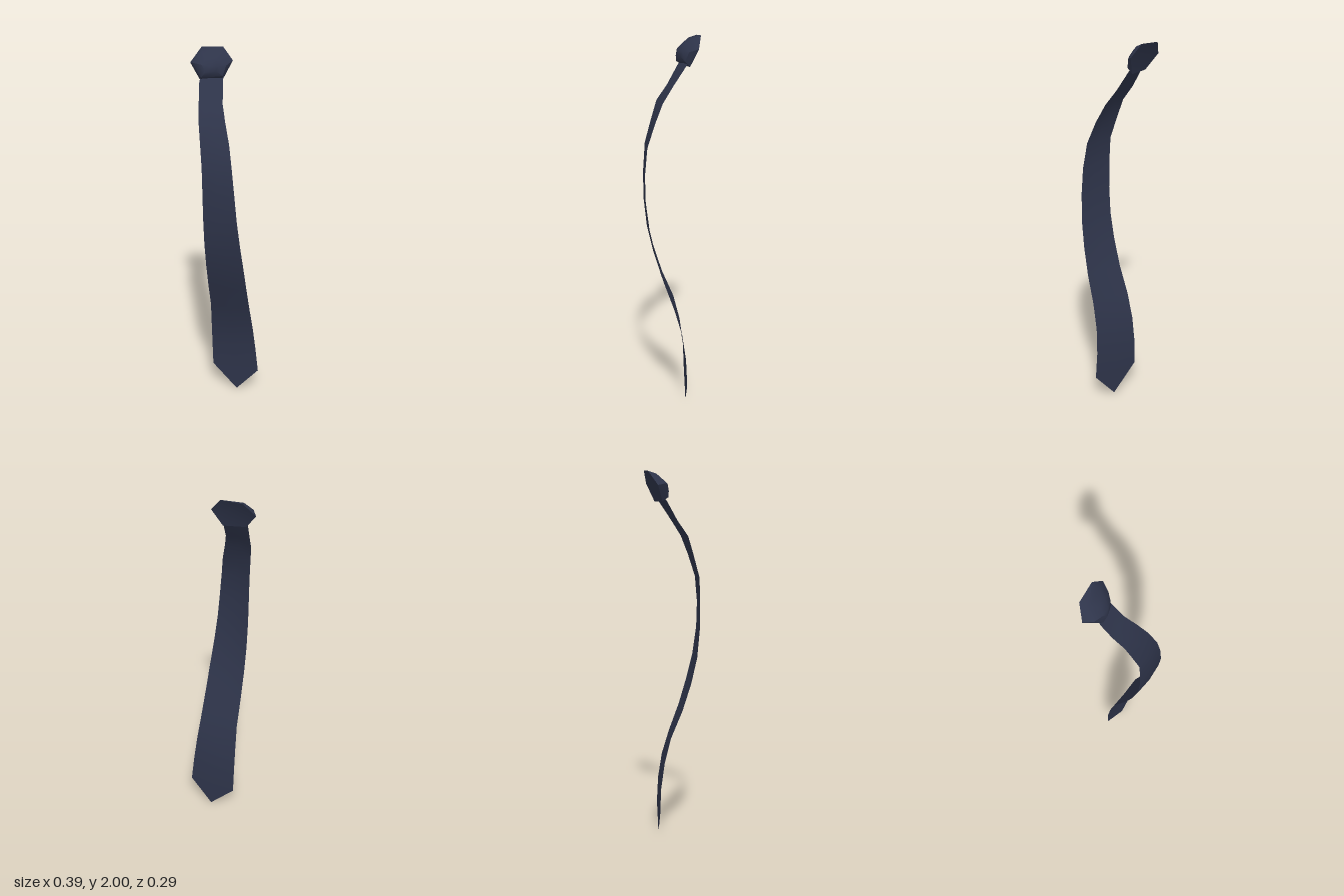
import * as THREE from 'three';
import { toCreasedNormals } from 'three/addons/utils/BufferGeometryUtils.js';

// Geometry from a list of points and triangle indices
function meshFrom(points, index) {
  const g = new THREE.BufferGeometry();
  g.setAttribute('position', new THREE.Float32BufferAttribute(points.flat(), 3));
  g.setIndex(index);
  g.computeVertexNormals();
  return g;
}

// Blade: cross-sections from the knot down, each with a left edge, a raised middle and a right edge
function bladeGeometry() {
  // [y, x and z of one edge, x and z of the other edge]
  const rows = [
    [1.88, -0.12, -0.04, -0.03, -0.1],
    [1.84, -0.118, -0.01, -0.015, -0.075],
    [1.74, -0.088, 0.04, 0.022, -0.015],
    [1.66, -0.055, 0.09, 0.066, 0.027],
    [1.56, -0.03, 0.115, 0.11, 0.058],
    [1.44, -0.002, 0.142, 0.148, 0.09],
    [1.3, 0.004, 0.145, 0.17, 0.098],
    [1.16, 0.006, 0.143, 0.182, 0.092],
    [1.01, 0.004, 0.13, 0.19, 0.07],
    [0.87, -0.006, 0.1, 0.191, 0.036],
    [0.72, -0.022, 0.055, 0.186, -0.007],
    [0.57, -0.046, -0.004, 0.175, -0.06],
    [0.43, -0.063, -0.036, 0.172, -0.102],
    [0.29, -0.07, -0.054, 0.178, -0.125],
    [0.145, -0.068, -0.06, 0.191, -0.135],
  ];
  const points = [], index = [];
  rows.forEach(([y, xl, zl, xr, zr], i) => {
    const bulge = 0.008 * Math.sin((Math.PI * i) / (rows.length - 1));
    points.push([xl, y, zl], [(xl + xr) / 2 + bulge * 0.3, y, (zl + zr) / 2 + bulge], [xr, y, zr]);
    if (i === 0) return;
    for (let k = 0; k < 2; k++) {
      const a = (i - 1) * 3 + k, b = a + 3;
      index.push(a, b, a + 1, a + 1, b, b + 1);
    }
  });
  // Pointed tip
  const n = points.length;
  points.push([0.07, 0, -0.1]);
  index.push(n - 3, n, n - 2, n - 2, n, n - 1);
  return meshFrom(points, index);
}

// Knot: six-sided rings from the hollow back over the rim to the domed front
function knotGeometry() {
  const rim = [[-0.195, 1.92, -0.04], [-0.165, 1.993, -0.1], [-0.063, 2.0, -0.145],
    [-0.003, 1.935, -0.147], [-0.032, 1.84, -0.095], [-0.128, 1.84, -0.032]];
  const front = [[-0.152, 1.93, -0.008], [-0.138, 1.98, -0.062], [-0.05, 1.982, -0.108],
    [-0.01, 1.918, -0.095], [-0.016, 1.868, -0.072], [-0.105, 1.86, -0.006]];
  const crown = [-0.063, 1.922, -0.025];
  const inner = front.map((p) => p.map((v, k) => v * 0.5 + crown[k] * 0.5 + [0.005, 0.001, 0.007][k]));
  const points = [[-0.09, 1.92, -0.085], ...rim, ...front, ...inner, crown];
  const index = [];
  for (let i = 0; i < 6; i++) {
    const j = (i + 1) % 6;
    index.push(0, 1 + i, 1 + j);
    for (let r = 0; r < 2; r++) {
      const a = 1 + r * 6 + i, b = 1 + r * 6 + j;
      index.push(a, a + 6, b, b, a + 6, b + 6);
    }
    index.push(13 + i, 19, 13 + j);
  }
  return toCreasedNormals(meshFrom(points, index), 0.75);
}

export function createModel() {
  const navyCloth = new THREE.MeshStandardMaterial({ color: 0x2e344a, side: THREE.DoubleSide });
  navyCloth.name = 'navyCloth';

  const necktie = new THREE.Group();
  necktie.name = 'necktie';
  const blade = new THREE.Mesh(bladeGeometry(), navyCloth);
  blade.name = 'blade';
  const knot = new THREE.Mesh(knotGeometry(), navyCloth);
  knot.name = 'knot';
  necktie.add(blade, knot);
  return necktie;
}
